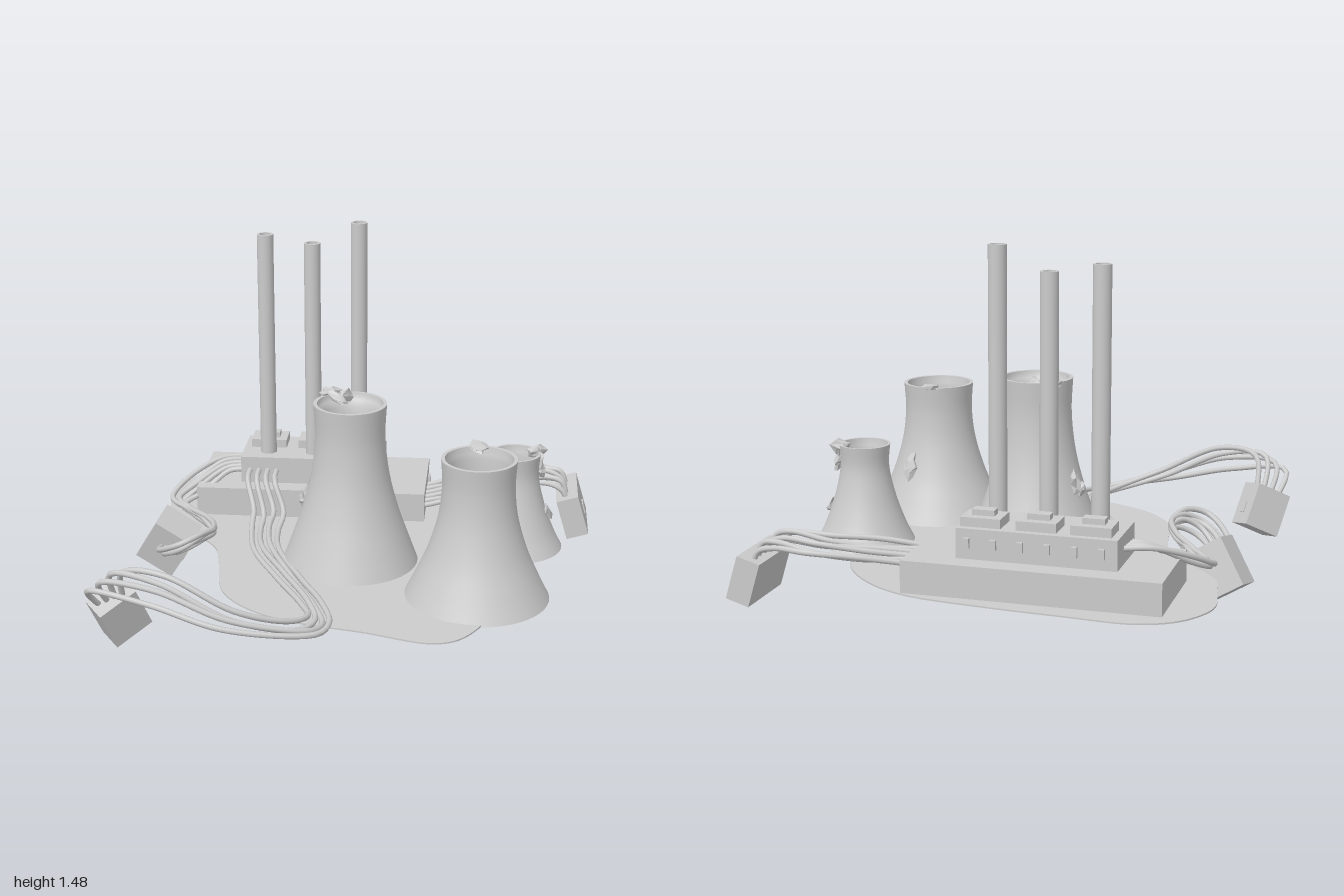
import * as THREE from 'three';

const grey = new THREE.MeshStandardMaterial({ color: 0xcccccc });
const greyDouble = new THREE.MeshStandardMaterial({ color: 0xcccccc, side: THREE.DoubleSide });
const greyFlat = new THREE.MeshStandardMaterial({ color: 0xcccccc, flatShading: true });
const GROUND = 0.165;

const V = (p) => new THREE.Vector3(...p);

function add(parent, name, geometry, material = grey, pos = [0, 0, 0], rot = [0, 0, 0]) {
  const m = new THREE.Mesh(geometry, material);
  m.name = name;
  m.position.set(...pos);
  m.rotation.set(...rot);
  parent.add(m);
  return m;
}

// Box given by its min and max corners
function block(parent, name, [x0, y0, z0], [x1, y1, z1]) {
  return add(parent, name, new THREE.BoxGeometry(x1 - x0, y1 - y0, z1 - z0), grey,
    [(x0 + x1) / 2, (y0 + y1) / 2, (z0 + z1) / 2]);
}

// Irregular flat-shaded lump of rubble
function shard(parent, name, pos, size, rot, seed) {
  const g = new THREE.DodecahedronGeometry(1, 0);
  const p = g.attributes.position;
  for (let i = 0; i < p.count; i++) {
    const x = p.getX(i), y = p.getY(i), z = p.getZ(i);
    const k = 1 + 0.28 * Math.sin(x * 5 + y * 7.3 + z * 9.1 + seed * 2.7);
    p.setXYZ(i, x * k, y * k, z * k);
  }
  g.scale(...size);
  g.computeVertexNormals();
  return add(parent, name, g, greyFlat, pos, rot);
}

// Hollow hyperbolic tower; profile holds [radius, y] from base to rim
function tower(parent, name, [x, z], profile, bore) {
  const curve = new THREE.SplineCurve(profile.map(([r, y]) => new THREE.Vector2(r, y)));
  const outer = curve.getPoints(24);
  const [rTop, top] = profile[profile.length - 1];
  const group = new THREE.Group();
  group.name = name;
  group.position.set(x, 0, z);
  add(group, 'towerShell', new THREE.LatheGeometry(outer, 48), greyDouble);
  const rim = [[rTop, top], [rTop * 0.9, top]].map((p) => new THREE.Vector2(...p));
  add(group, 'towerRim', new THREE.LatheGeometry(rim, 48), greyDouble);
  const lining = [[rTop * 0.9, top], [rTop * 0.87, top - 0.03], [bore, top - 0.05], [bore, top - 0.12]]
    .map((p) => new THREE.Vector2(...p));
  add(group, 'towerLining', new THREE.LatheGeometry(lining, 48), greyDouble);
  parent.add(group);
}

// Bundle of cables blended between a first and a last path
function cables(parent, name, count, first, last, radius = 0.012) {
  const group = new THREE.Group();
  group.name = name;
  for (let i = 0; i < count; i++) {
    const t = i / (count - 1);
    const pts = first.map((p, k) => {
      const v = V(p).lerp(V(last[k]), t);
      if (k > 1 && k < first.length - 1) v.y += 0.012 * Math.sin(i * 2.4 + k);
      return v;
    });
    const path = new THREE.CatmullRomCurve3(pts);
    add(group, 'cable', new THREE.TubeGeometry(path, 72, radius, 8, false));
  }
  parent.add(group);
}

// Connector block with a raised clip on one face
function plug(parent, name, [w, h, d], pos, rot) {
  const group = new THREE.Group();
  group.name = name;
  group.position.set(...pos);
  group.rotation.set(...rot);
  add(group, 'plugBody', new THREE.BoxGeometry(w, h, d));
  add(group, 'plugClip', new THREE.BoxGeometry(0.012, h * 0.25, d * 0.2), grey, [w / 2, -h * 0.1, 0]);
  parent.add(group);
}

export function createModel() {
  const model = new THREE.Group();
  model.name = 'powerStation';

  // Thin rounded ground plate
  const outline = [
    [-0.67, -0.93], [-0.4, -0.92], [-0.1, -0.9], [0.24, -0.85], [0.43, -0.74], [0.57, -0.57],
    [0.62, -0.4], [0.62, -0.1], [0.61, 0.2], [0.58, 0.45], [0.53, 0.65], [0.44, 0.775],
    [0.34, 0.805], [0.09, 0.735], [-0.22, 0.66], [-0.4, 0.56], [-0.52, 0.41], [-0.58, 0.13],
    [-0.62, -0.02], [-0.75, -0.18], [-0.87, -0.34], [-0.9, -0.48], [-0.925, -0.66], [-0.89, -0.77], [-0.81, -0.87],
  ].map(([x, z]) => new THREE.Vector2(x, -z)).reverse();
  const edge = new THREE.CatmullRomCurve3(outline.map((p) => new THREE.Vector3(p.x, p.y, 0)), true);
  const plate = new THREE.Shape(edge.getPoints(120).slice(0, -1).map((p) => new THREE.Vector2(p.x, p.y)));
  add(model, 'groundPlate', new THREE.ExtrudeGeometry(plate, { depth: 0.006, bevelEnabled: false }),
    grey, [0, GROUND, 0], [-Math.PI / 2, 0, 0]);

  // Plinth and main building
  block(model, 'plinth', [-0.76, GROUND - 0.003, -0.835], [0.26, 0.3, -0.38]);
  block(model, 'plinthSocket', [0.26, 0.2, -0.775], [0.272, 0.25, -0.74]);
  block(model, 'building', [-0.57, 0.3, -0.745], [0.065, 0.42, -0.465]);
  for (let i = 0; i < 6; i++) {
    const x = -0.51 + i * 0.106;
    block(model, 'rearWindow', [x - 0.012, 0.345, -0.762], [x + 0.012, 0.385, -0.745]);
  }

  // Stepped roof vents, each with a tall hollow chimney
  [[-0.46, -0.455, 1.425], [-0.245, -0.25, 1.39], [-0.025, -0.045, 1.485]].forEach(([vx, cx, top]) => {
    block(model, 'roofVent', [vx - 0.08, 0.42, -0.717], [vx + 0.08, 0.457, -0.598]);
    block(model, 'roofVentCap', [vx - 0.045, 0.457, -0.68], [vx + 0.045, 0.48, -0.632]);
    const wall = [[0.036, 0.42], [0.036, top], [0.036, top], [0.025, top], [0.025, top], [0.025, top - 0.06], [0, top - 0.06]]
      .map((p) => new THREE.Vector2(...p));
    add(model, 'chimney', new THREE.LatheGeometry(wall, 24), greyDouble, [cx, 0, -0.55]);
  });

  // Cooling towers
  tower(model, 'tallTower', [-0.03, 0.04],
    [[0.288, 0.162], [0.248, 0.27], [0.2, 0.41], [0.163, 0.56], [0.146, 0.72], [0.152, 0.865]], 0.105);
  tower(model, 'wideTower', [0.51, 0.345],
    [[0.295, 0.163], [0.25, 0.255], [0.2, 0.37], [0.16, 0.51], [0.146, 0.64], [0.152, 0.755]], 0.125);
  tower(model, 'smallTower', [0.655, -0.185],
    [[0.21, 0.163], [0.172, 0.24], [0.135, 0.34], [0.109, 0.44], [0.101, 0.51], [0.108, 0.585]], 0.085);

  // Broken rims and rubble: position, size, rotation
  [
    [[-0.13, 0.865, -0.07], [0.05, 0.022, 0.025], [0, 0.6, 0.2]],
    [[-0.09, 0.86, -0.045], [0.07, 0.014, 0.025], [0.2, -0.7, -0.2]],
    [[-0.06, 0.85, -0.08], [0.03, 0.04, 0.015], [0.4, 0.3, 0]],
    [[-0.215, 0.44, -0.025], [0.022, 0.055, 0.04], [0, 0.3, -0.25]],
    [[-0.235, 0.41, -0.01], [0.02, 0.03, 0.025], [0.4, 0, 0.3]],
    [[0.5, 0.755, 0.22], [0.04, 0.014, 0.05], [0.15, 0.4, 0]],
    [[0.585, 0.41, 0.16], [0.035, 0.06, 0.016], [0.35, -0.3, 0.2]],
    [[0.74, 0.575, -0.225], [0.045, 0.03, 0.025], [0.2, 0.5, 0.1]],
    [[0.755, 0.545, -0.215], [0.02, 0.05, 0.04], [0, 0.3, -0.1]],
    [[0.765, 0.5, -0.2], [0.018, 0.04, 0.03], [0.5, 0, 0.2]],
    [[0.8, 0.32, -0.185], [0.012, 0.045, 0.032], [0.3, 0, 0.42]],
  ].forEach(([p, s, r], i) => shard(model, 'rubble', p, s, r, i));

  // Connectors
  plug(model, 'leftPlug', [0.1, 0.185, 0.31], [0.922, 0.153, -0.675], [0, 0, 0.29]);
  plug(model, 'rightPlug', [0.18, 0.21, 0.15], [-0.84, 0.15, -0.12], [0.2, -0.15, -0.53]);
  plug(model, 'frontPlug', [0.17, 0.19, 0.12], [-0.885, 0.19, 0.68], [0.25, 0.7, 0.3]);

  // Cable bundles
  cables(model, 'leftCables', 6,
    [[0.22, 0.23, -0.66], [0.3, 0.24, -0.68], [0.47, 0.26, -0.76], [0.65, 0.29, -0.82], [0.8, 0.3, -0.795], [0.87, 0.28, -0.785], [0.9, 0.21, -0.78]],
    [[0.22, 0.23, -0.41], [0.3, 0.24, -0.43], [0.47, 0.26, -0.49], [0.65, 0.28, -0.555], [0.8, 0.3, -0.575], [0.87, 0.28, -0.57], [0.9, 0.21, -0.57]]);
  cables(model, 'rightCables', 5,
    [[-0.55, 0.36, -0.64], [-0.68, 0.36, -0.6], [-0.82, 0.29, -0.48], [-0.87, 0.25, -0.38], [-0.78, 0.26, -0.25], [-0.66, 0.27, -0.1],
      [-0.61, 0.29, 0.05], [-0.65, 0.3, 0.17], [-0.73, 0.27, 0.22], [-0.83, 0.21, 0.13], [-0.86, 0.15, -0.06]],
    [[-0.55, 0.35, -0.5], [-0.63, 0.34, -0.49], [-0.73, 0.28, -0.41], [-0.8, 0.24, -0.34], [-0.73, 0.24, -0.21], [-0.66, 0.25, -0.07],
      [-0.62, 0.26, 0.03], [-0.65, 0.26, 0.08], [-0.71, 0.23, 0.1], [-0.77, 0.18, 0.06], [-0.8, 0.14, -0.06]]);
  cables(model, 'frontCables', 4,
    [[-0.53, 0.36, -0.48], [-0.53, 0.34, -0.39], [-0.49, 0.23, -0.29], [-0.485, 0.2, -0.2], [-0.45, 0.19, 0], [-0.32, 0.19, 0.27], [-0.18, 0.19, 0.54],
      [-0.14, 0.19, 0.67], [-0.21, 0.21, 0.77], [-0.4, 0.29, 0.85], [-0.67, 0.43, 0.83], [-0.84, 0.42, 0.78], [-0.86, 0.24, 0.7]],
    [[-0.41, 0.36, -0.48], [-0.41, 0.34, -0.39], [-0.36, 0.22, -0.31], [-0.37, 0.19, -0.2], [-0.345, 0.19, -0.02], [-0.21, 0.19, 0.3], [-0.1, 0.19, 0.54],
      [-0.05, 0.185, 0.72], [-0.09, 0.19, 0.82], [-0.43, 0.25, 0.91], [-0.72, 0.33, 0.875], [-0.97, 0.35, 0.82], [-0.93, 0.2, 0.7]]);

  return model;
}
